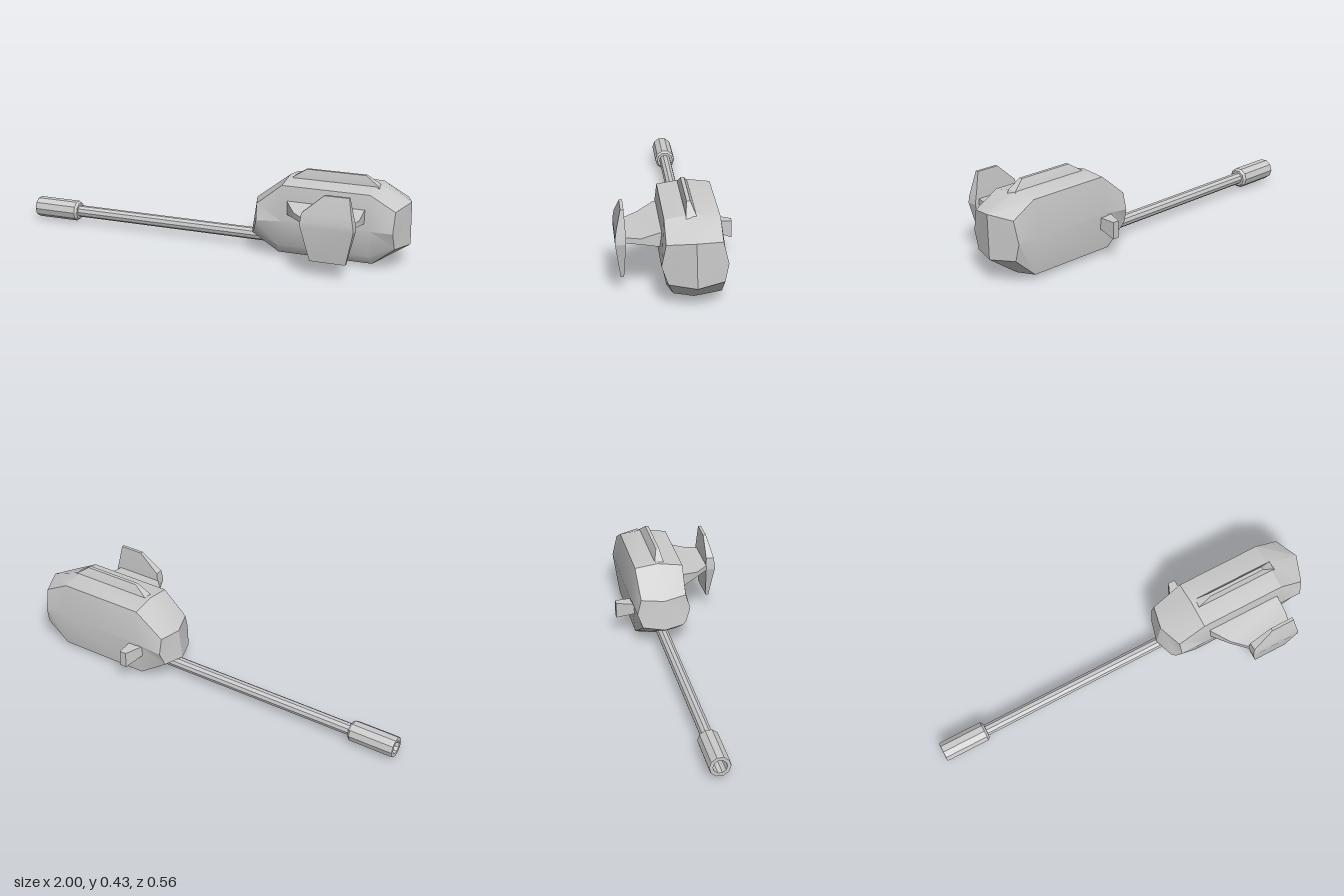
import * as THREE from 'three';
import { toCreasedNormals } from 'three/addons/utils/BufferGeometryUtils.js';

const smooth = new THREE.MeshStandardMaterial({ color: 0xcccccc });
const faceted = new THREE.MeshStandardMaterial({ color: 0xcccccc, flatShading: true });

// Skin a row of rings (each turning anticlockwise about the sweep direction) and cap both ends.
function loft(name, rings, crease = 0.45) {
  const n = rings[0].length;
  const index = [];
  for (let i = 0; i < rings.length - 1; i++) {
    for (let j = 0; j < n; j++) {
      const k = (j + 1) % n;
      const a = i * n + j, b = i * n + k, c = a + n, d = b + n;
      index.push(a, b, d, a, d, c);
    }
  }
  const last = (rings.length - 1) * n;
  for (let k = 1; k < n - 1; k++) {
    index.push(0, k + 1, k, last, last + k, last + k + 1);
  }
  const geometry = new THREE.BufferGeometry();
  geometry.setAttribute('position', new THREE.Float32BufferAttribute(rings.flat(2), 3));
  geometry.setIndex(index);
  const mesh = new THREE.Mesh(toCreasedNormals(geometry, crease), smooth);
  mesh.name = name;
  return mesh;
}

// Rectangular rings for sweeps along z and along y
const ringZ = (z, x0, x1, y0, y1) => [[x0, y0, z], [x1, y0, z], [x1, y1, z], [x0, y1, z]];
const ringY = (y, x0, x1, z0, z1) => [[x0, y, z1], [x1, y, z1], [x1, y, z0], [x0, y, z0]];

// Rings of the pod run top centre, front side, bottom centre, back side
function createBody() {
  const section = (top, mid, bottom) => [
    [top, 0.388, -0.06], [top, 0.367, 0.07], [mid, 0.195, 0.09],
    [bottom, 0.06, 0.06], [bottom, 0.017, 0.03], [bottom, 0, -0.063],
    [bottom, 0.022, -0.187], [mid, 0.2, -0.204], [top, 0.373, -0.178],
  ];
  const nose = [
    [0.225, 0.255, -0.06], [0.265, 0.26, 0.06], [0.27, 0.18, 0.085],
    [0.25, 0.12, 0.06], [0.235, 0.105, 0.04], [0.205, 0.1, -0.06],
    [0.235, 0.11, -0.17], [0.25, 0.18, -0.195], [0.25, 0.26, -0.175],
  ];
  const tail = [
    [1, 0.319, -0.057], [0.955, 0.298, 0.07], [0.95, 0.195, 0.09],
    [0.953, 0.125, 0.065], [0.955, 0.112, 0.06], [1, 0.107, -0.063],
    [0.955, 0.118, -0.187], [0.95, 0.2, -0.204], [0.955, 0.305, -0.178],
  ];
  return loft('body', [nose, section(0.395, 0.4, 0.37), section(0.83, 0.84, 0.84), tail]);
}

// Barrel with a wider, hollow muzzle
function createBarrel() {
  const profile = [
    [0, -0.88], [0.033, -0.88], [0.033, -1], [0.05, -1], [0.052, -0.99],
    [0.052, -0.775], [0.042, -0.763], [0.03, -0.763], [0.03, 0.4],
  ].map(([r, x]) => new THREE.Vector2(r, x));
  const barrel = new THREE.Mesh(new THREE.LatheGeometry(profile, 10), faceted);
  barrel.name = 'barrel';
  barrel.rotation.z = -Math.PI / 2;
  barrel.position.set(0, 0.061, -0.065);
  return barrel;
}

export function createModel() {
  const group = new THREE.Group();
  group.name = 'gunPod';

  // Low ridge on the roof
  const ridge = loft('topRidge', [
    ringY(0.37, 0.41, 0.85, -0.075, -0.025),
    ringY(0.388, 0.42, 0.84, -0.07, -0.025),
    ringY(0.43, 0.485, 0.78, -0.05, -0.033),
  ]);

  // Swept strut carrying the upright vane
  const strut = loft('vaneStrut', [
    ringZ(0.06, 0.42, 0.81, 0.23, 0.295),
    ringZ(0.09, 0.43, 0.81, 0.23, 0.295),
    ringZ(0.17, 0.49, 0.81, 0.243, 0.27),
    ringZ(0.245, 0.565, 0.79, 0.243, 0.27),
  ]);
  const vane = loft('vane', [
    ringY(0.075, 0.6, 0.775, 0.243, 0.258),
    ringY(0.245, 0.558, 0.815, 0.235, 0.283),
    ringY(0.27, 0.558, 0.812, 0.235, 0.283),
    ringY(0.31, 0.562, 0.803, 0.237, 0.277),
    ringY(0.4, 0.665, 0.785, 0.243, 0.258),
  ], 0.2);

  // Small flared fin on the back
  const backFin = loft('backFin', [
    ringZ(-0.281, 0.395, 0.43, 0.1, 0.183),
    ringZ(-0.19, 0.355, 0.43, 0.133, 0.187),
  ]);

  group.add(createBody(), createBarrel(), ridge, strut, vane, backFin);
  return group;
}
